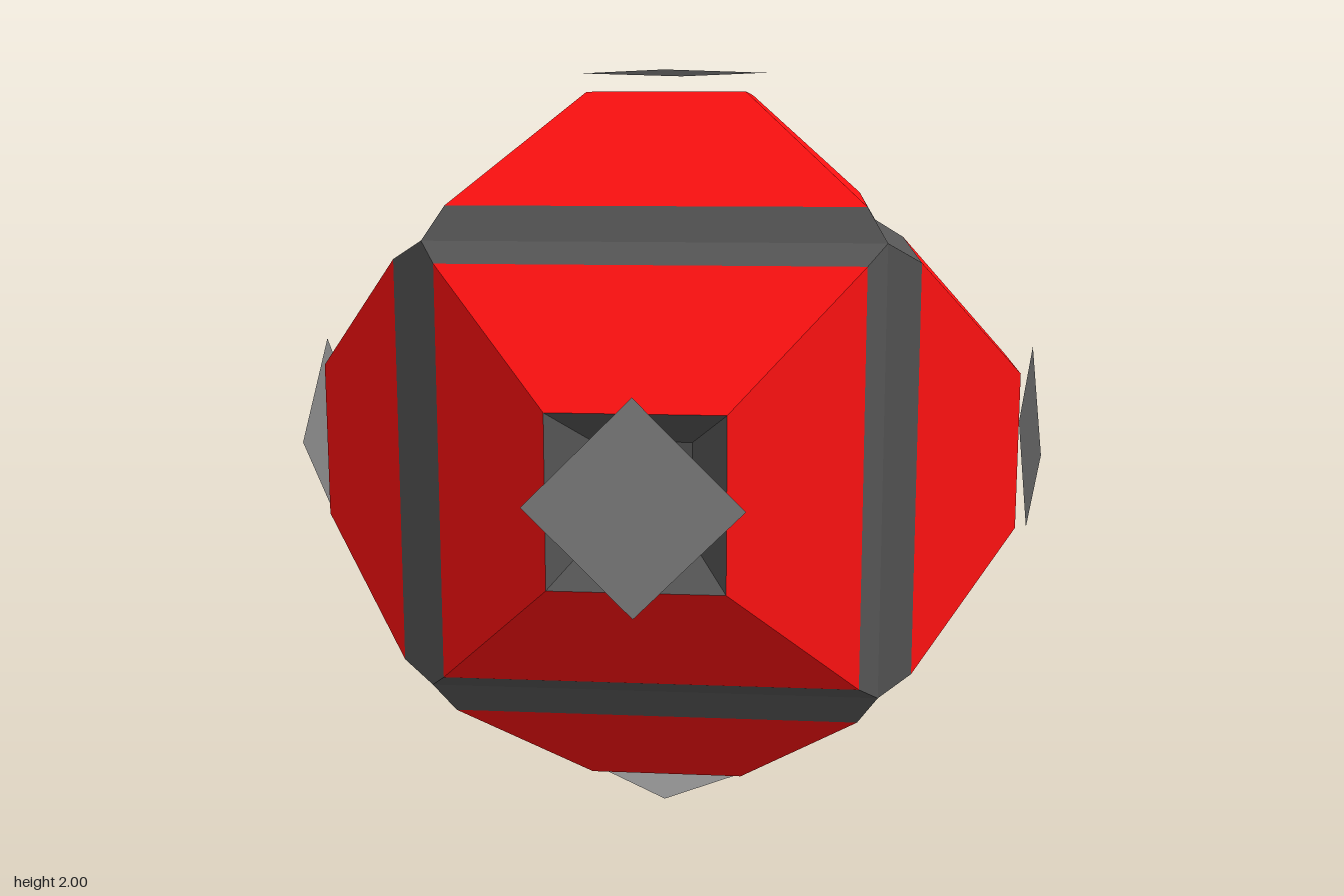
import * as THREE from 'three';

const material = (color, side = THREE.FrontSide) =>
  new THREE.MeshStandardMaterial({ color, side, flatShading: true });

const red = material(0xff1111);
const darkGrey = material(0x555555, THREE.DoubleSide);
const plateGrey = material(0x8c8c8c, THREE.DoubleSide);

// Open square ring of four sloping walls along +y, from half-width h0 at y0 to h1 at y1
function squareFrustum(h0, y0, h1, y1) {
  const geo = new THREE.CylinderGeometry(h1 * Math.SQRT2, h0 * Math.SQRT2, y1 - y0, 4, 1, true);
  geo.rotateY(Math.PI / 4);
  geo.translate(0, (y0 + y1) / 2, 0);
  return geo;
}

function addPart(parent, name, geometry, mat) {
  const mesh = new THREE.Mesh(geometry, mat);
  mesh.name = name;
  parent.add(mesh);
}

// One of the six identical sides, pointing along +y
function createSide() {
  const side = new THREE.Group();

  // Half of the shallow groove shared with the neighbouring sides
  addPart(side, 'grooveBorder', squareFrustum(0.575, 0.575, 0.525, 0.66), darkGrey);

  // Truncated red pyramid
  addPart(side, 'pyramidPanel', squareFrustum(0.525, 0.66, 0.21, 0.945), red);

  // Recess sunk into the cut-off tip
  addPart(side, 'recessWalls', squareFrustum(0.12, 0.8, 0.21, 0.945), darkGrey);
  const floor = new THREE.PlaneGeometry(0.24, 0.24).rotateX(-Math.PI / 2).translate(0, 0.8, 0);
  addPart(side, 'recessFloor', floor, darkGrey);

  // Thin diamond plate hovering over the recess
  const plate = new THREE.PlaneGeometry(0.363, 0.363)
    .rotateX(-Math.PI / 2).rotateY(Math.PI / 4).translate(0, 1, 0);
  addPart(side, 'diamondPlate', plate, plateGrey);
  return side;
}

export function createModel() {
  const model = new THREE.Group();
  model.name = 'facetedCube';

  const directions = {
    topSide: [0, 1, 0], bottomSide: [0, -1, 0],
    leftSide: [1, 0, 0], rightSide: [-1, 0, 0],
    frontSide: [0, 0, 1], backSide: [0, 0, -1],
  };
  const up = new THREE.Vector3(0, 1, 0);
  for (const [name, dir] of Object.entries(directions)) {
    const side = createSide();
    side.name = name;
    if (dir[1] < 0) side.rotation.x = Math.PI;
    else side.quaternion.setFromUnitVectors(up, new THREE.Vector3(...dir));
    side.position.y = 1;
    model.add(side);
  }
  return model;
}
